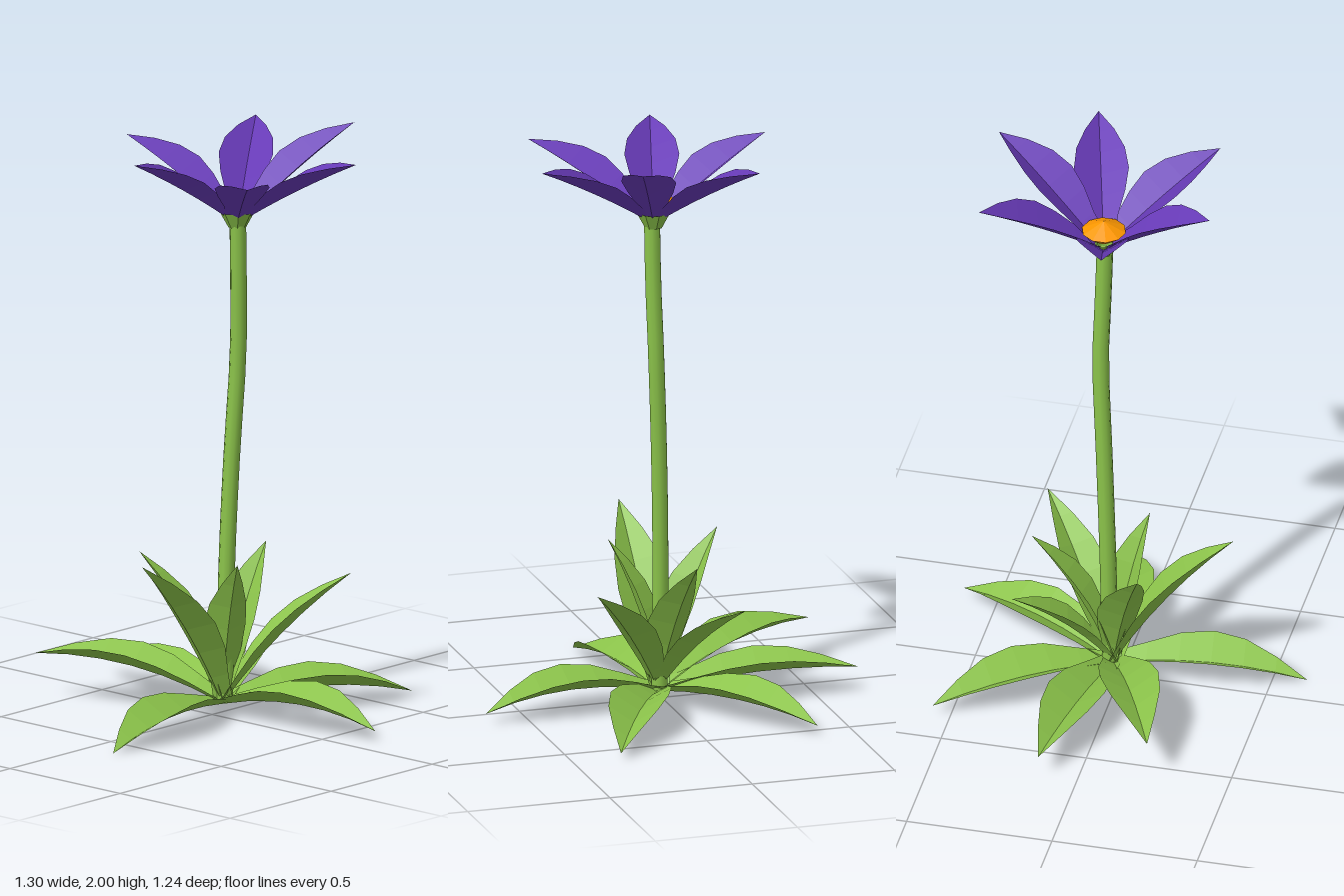
import * as THREE from 'three';

const V = (x, y, z) => new THREE.Vector3(x, y, z);
const mat = (color, flatShading = true) =>
  new THREE.MeshStandardMaterial({ color, flatShading, side: THREE.DoubleSide });
const GREEN = mat(0x8bc34a), STEM = mat(0x8bc34a, false), PURPLE = mat(0x673ab7), ORANGE = mat(0xff9800);

// Relative widths from base to tip
const LEAF = [0.35, 0.58, 0.88, 1, 0.86, 0.48, 0];
const PETAL = [0.42, 0.56, 0.84, 1, 0.88, 0.52, 0];

// A pointed blade folded in a V along its midrib, from base to tip.
function blade(base, tip, halfWidth, arch, fold, profile) {
  const dir = tip.clone().sub(base);
  const side = V(dir.z, 0, -dir.x).normalize();
  const up = dir.clone().normalize().cross(side);
  const n = profile.length - 1;
  const pos = [], index = [];
  profile.forEach((w, i) => {
    const t = i / n;
    const rib = base.clone().addScaledVector(dir, t).addScaledVector(up, arch * 4 * t * (1 - t));
    for (const s of [-1, 0, 1]) {
      const p = rib.clone()
        .addScaledVector(side, s * w * halfWidth * Math.cos(fold))
        .addScaledVector(up, Math.abs(s) * w * halfWidth * Math.sin(fold));
      pos.push(p.x, p.y, p.z);
    }
    if (i < n) {
      for (const k of [0, 1]) {
        const a = i * 3 + k;
        index.push(a, a + 3, a + 1, a + 1, a + 3, a + 4);
      }
    }
  });
  const g = new THREE.BufferGeometry();
  g.setAttribute('position', new THREE.Float32BufferAttribute(pos, 3));
  g.setIndex(index);
  g.computeVertexNormals();
  return g;
}

export function createModel() {
  const model = new THREE.Group();
  const add = (name, geometry, material, parent = model) => {
    const m = new THREE.Mesh(geometry, material);
    m.name = name;
    parent.add(m);
    return m;
  };
  const group = (name) => {
    const g = new THREE.Group();
    g.name = name;
    model.add(g);
    return g;
  };

  // Gently bent stem
  const path = new THREE.CatmullRomCurve3([
    V(0.02, 0.05, -0.04), V(0.02, 0.5, -0.05), V(0.03, 0.9, -0.065),
    V(0.045, 1.25, -0.08), V(0.053, 1.5, -0.073), V(0.055, 1.72, -0.067),
  ]);
  add('stem', new THREE.TubeGeometry(path, 12, 0.028, 10), STEM);

  // Spreading outer leaves: tip and arch height
  const outer = group('outerLeaves');
  [
    [0.65, 0.04, -0.10, 0.045], [0.34, 0.03, -0.62, 0.04], [-0.37, 0.04, -0.56, 0.03],
    [-0.65, 0.09, -0.13, 0.025], [-0.59, 0.16, 0.23, 0.045], [0.115, 0.005, 0.615, 0.035],
  ].forEach(([x, y, z, arch]) => {
    add('outerLeaf', blade(V(0.02, 0.04, -0.03), V(x, y, z), 0.116, arch, 0.55, LEAF), GREEN, outer);
  });

  // Upright inner leaves: tip and half width
  const inner = group('innerLeaves');
  [
    [0.03, 0.59, 0.38, 0.108], [-0.23, 0.55, 0.11, 0.09], [0.33, 0.49, -0.33, 0.09],
    [0.17, 0.56, 0.06, 0.085], [-0.19, 0.39, -0.33, 0.085], [-0.03, 0.545, -0.30, 0.09],
  ].forEach(([x, y, z, w]) => {
    add('innerLeaf', blade(V(0.02, 0.04, -0.03), V(x, y, z), w, 0.025, 0.52, LEAF), GREEN, inner);
  });

  // Flower head
  const cx = 0.05, cz = -0.07;
  const calyx = add('calyx', new THREE.CylinderGeometry(0.06, 0.03, 0.055, 8, 1, true), GREEN);
  calyx.position.set(cx, 1.712, cz);

  const petals = group('petals');
  [
    [0.48, 1.95, -0.19], [0.215, 2, -0.47], [-0.205, 1.96, -0.44],
    [-0.37, 1.95, 0.02], [-0.06, 1.95, 0.32], [0.39, 1.93, 0.25],
  ].forEach(([x, y, z]) => {
    const out = V(x - cx, 0, z - cz).normalize();
    const base = V(cx, 1.715, cz).addScaledVector(out, 0.03);
    add('petal', blade(base, V(x, y, z), 0.105, 0.008, 0.5, PETAL), PURPLE, petals);
  });

  // Faceted flower centre
  const centre = add('flowerCentre', new THREE.LatheGeometry(
    [[0.025, 1.735], [0.075, 1.775], [0, 1.812]].map(([r, y]) => new THREE.Vector2(r, y)), 10), ORANGE);
  centre.position.set(cx, 0, cz);

  return model;
}
